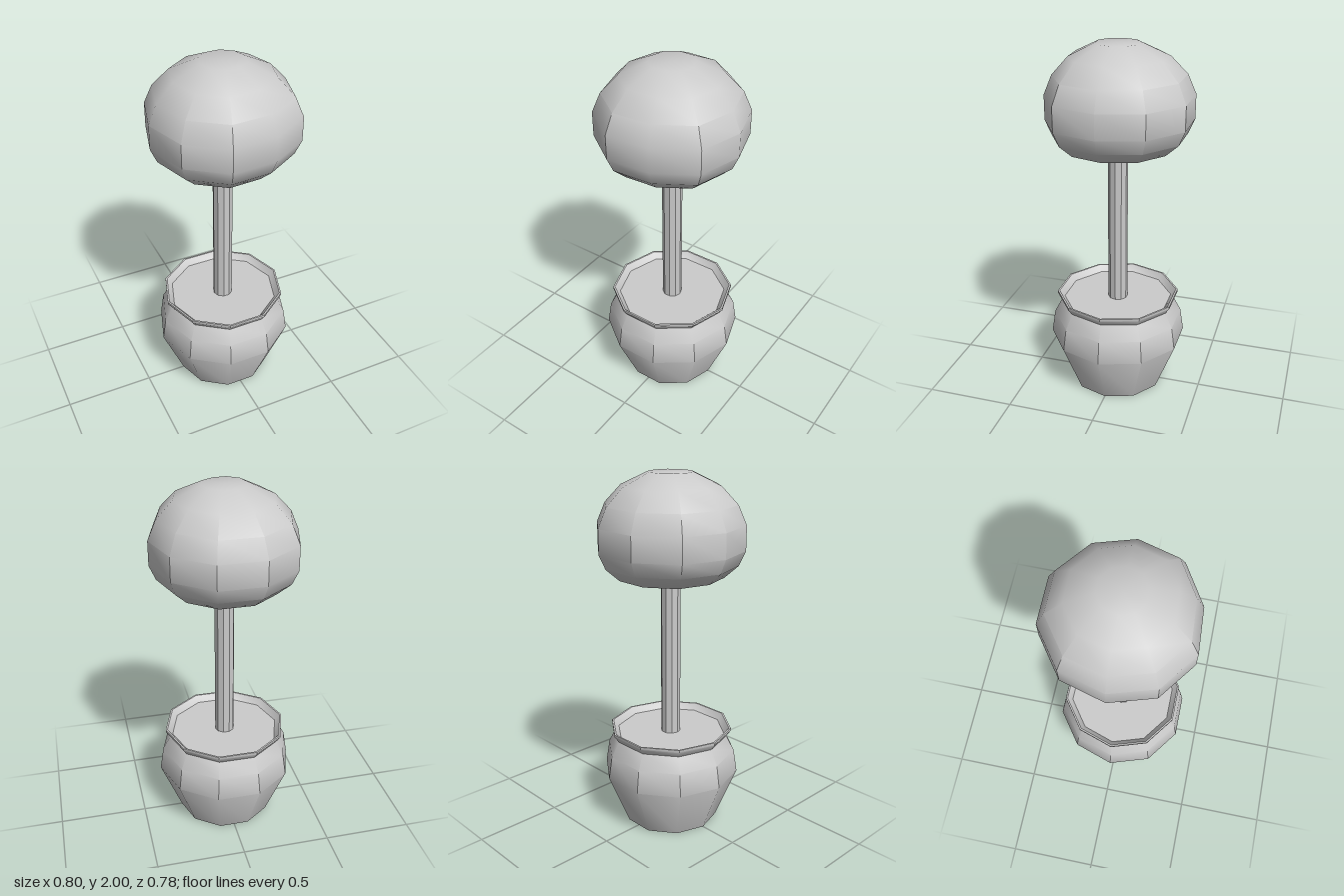
import * as THREE from 'three';
import { toCreasedNormals } from 'three/addons/utils/BufferGeometryUtils.js';

const SIDES = 10;
const material = new THREE.MeshStandardMaterial({ color: 0xcccccc });

// Ten-sided turned part from a bottom-to-top [radius, height] profile.
// warp holds an optional radius factor for each corner, from +x towards -z.
function turned(name, profile, warp) {
  const points = profile.map(([r, y]) => new THREE.Vector2(r, y));
  const geometry = new THREE.LatheGeometry(points, SIDES, Math.PI / 2);
  if (warp) {
    const pos = geometry.attributes.position;
    for (let i = 0; i < pos.count; i++) {
      const f = warp[Math.floor(i / points.length) % SIDES];
      pos.setX(i, pos.getX(i) * f);
      pos.setZ(i, pos.getZ(i) * f);
    }
  }
  const mesh = new THREE.Mesh(toCreasedNormals(geometry, 0.61), material);
  mesh.name = name;
  return mesh;
}

export function createModel() {
  const group = new THREE.Group();
  group.name = 'pottedTree';

  // Pot with belly, flared rim and the inner slope down to the soil
  group.add(turned('pot', [
    [0, 0], [0.27, 0], [0.39, 0.3], [0.37, 0.43], [0.325, 0.515],
    [0.35, 0.55], [0.35, 0.565], [0.34, 0.565], [0.31, 0.53],
  ]));
  group.add(turned('soil', [[0.312, 0.53], [0, 0.53]]));

  // Slim trunk
  group.add(turned('trunk', [[0.055, 0.525], [0.055, 1.42]]));

  // Clipped ball of leaves, a little uneven, with a shallow cone underneath
  group.add(turned('crown', [
    [0.05, 1.4], [0.29, 1.447], [0.365, 1.515], [0.4, 1.595], [0.4, 1.73],
    [0.355, 1.835], [0.266, 1.93], [0.12, 2], [0, 2],
  ], [1, 1.01, 1.03, 1.03, 1.03, 1, 1.01, 1.01, 0.97, 1.03]));

  return group;
}
